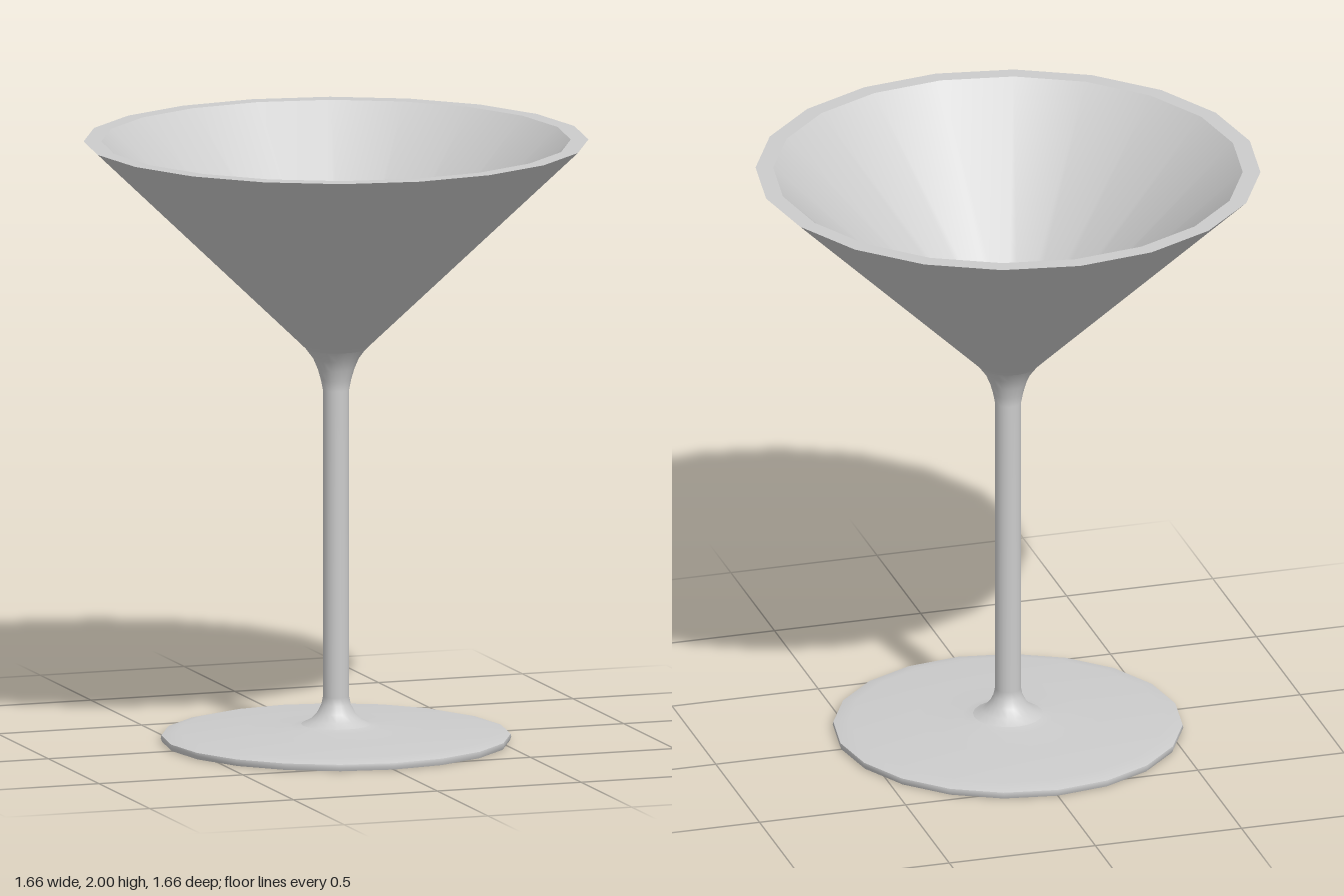
import * as THREE from 'three';

const SIDES = 20;
const material = new THREE.MeshStandardMaterial({ color: 0xcccccc });

// Each profile is turned about the y axis; separate profiles keep the edges between them sharp.
function turned(name, profile) {
  const points = profile.map(([r, y]) => new THREE.Vector2(r, y));
  const mesh = new THREE.Mesh(new THREE.LatheGeometry(points, SIDES), material);
  mesh.name = name;
  return mesh;
}

export function createModel() {
  const glass = new THREE.Group();
  glass.name = 'cocktailGlass';

  // Foot: dimpled underside, thin edge and gently sloping top
  const foot = new THREE.Group();
  foot.name = 'foot';
  foot.add(
    turned('footUnderside', [[0, 0.075], [0.03, 0.068], [0.06, 0.04], [0.085, 0.018], [0.12, 0.01], [0.53, 0.004], [0.57, 0]]),
    turned('footEdge', [[0.57, 0], [0.575, 0.012], [0.573, 0.022]]),
    turned('footTop', [[0.573, 0.022], [0.52, 0.035], [0.3, 0.044], [0.15, 0.051], [0.115, 0.058]])
  );

  // Stem: flared at both ends
  const stem = turned('stem', [
    [0.115, 0.058], [0.085, 0.073], [0.062, 0.097], [0.048, 0.125], [0.043, 0.15],
    [0.043, 1.17], [0.05, 1.205], [0.06, 1.24], [0.075, 1.275], [0.1, 1.308]
  ]);

  // Bowl: conical wall, flat lip and round-bottomed inside
  const bowl = new THREE.Group();
  bowl.name = 'bowl';
  bowl.add(
    turned('bowlOutside', [[0.1, 1.308], [0.13, 1.337], [0.828, 2]]),
    turned('bowlLip', [[0.828, 2], [0.77, 2]]),
    turned('bowlInside', [[0.77, 2], [0.1, 1.362], [0.075, 1.342], [0.04, 1.325], [0, 1.32]])
  );

  glass.add(foot, stem, bowl);
  return glass;
}
